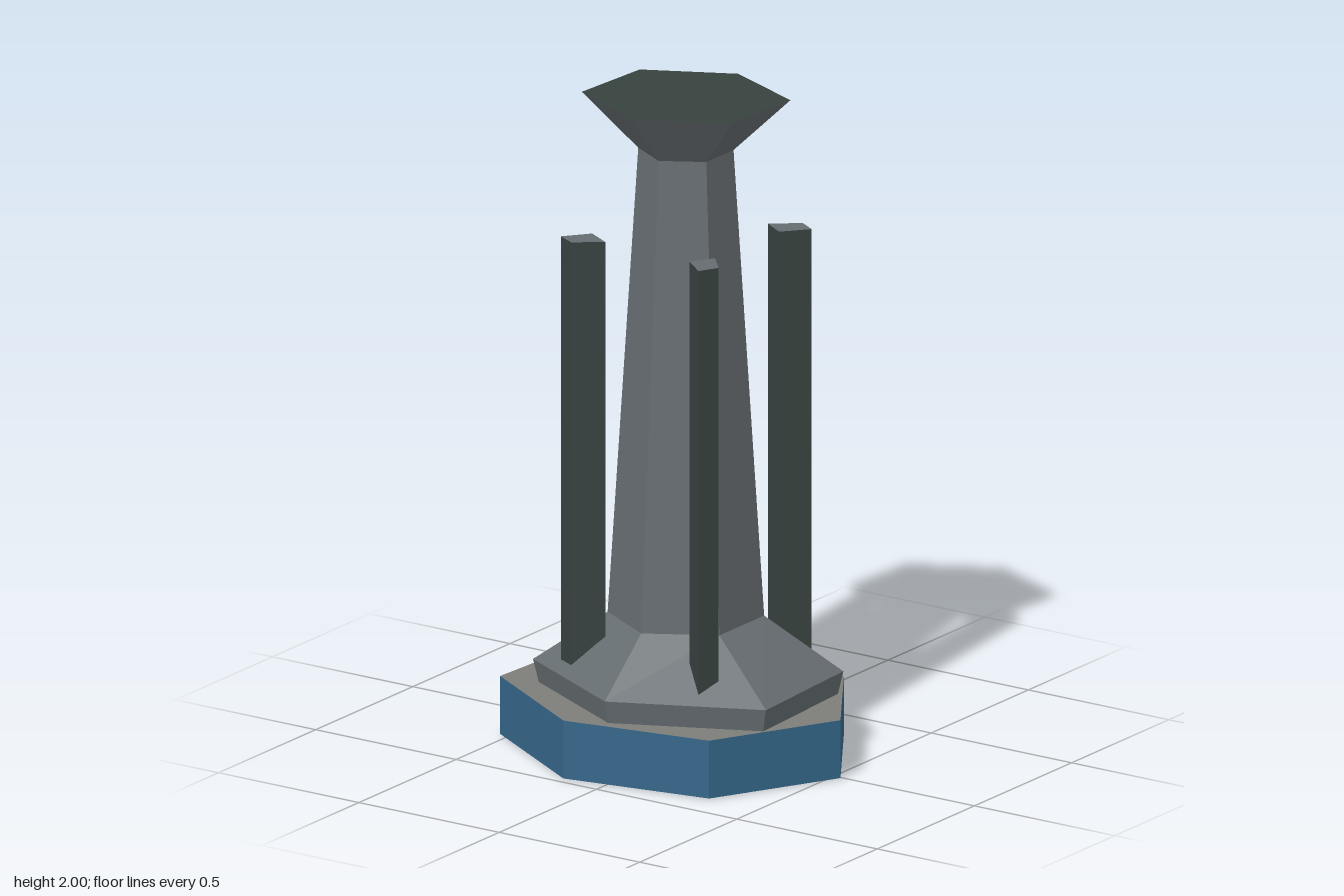
import * as THREE from 'three';

const mat = (name, color) => {
  const m = new THREE.MeshStandardMaterial({ color, flatShading: true });
  m.name = name;
  return m;
};

// Regular hexagon with a corner pointing to the back, as [x, z] pairs
const hexagon = (r, cx = -0.015, cz = 0.018) =>
  Array.from({ length: 6 }, (_, i) => {
    const t = (i * Math.PI) / 3;
    return [cx + r * Math.sin(t), cz - r * Math.cos(t)];
  });

// Joins rings of [x, z] corners (clockwise from above) at rising heights.
// Groups: 0 = sides, 1 = top, 2 = bottom.
function loft(levels) {
  const pos = [];
  const rings = levels.map(([y, pts]) => pts.map(([x, z]) => [x, y, z]));
  const n = rings[0].length;
  const tri = (...corners) => corners.forEach((c) => pos.push(...c));
  for (let k = 0; k + 1 < rings.length; k++) {
    const lo = rings[k], hi = rings[k + 1];
    for (let i = 0; i < n; i++) {
      const j = (i + 1) % n;
      tri(lo[j], lo[i], hi[i]);
      tri(lo[j], hi[i], hi[j]);
    }
  }
  const sides = pos.length / 3;
  const top = rings[rings.length - 1], bottom = rings[0];
  for (let i = 1; i + 1 < n; i++) tri(top[0], top[i + 1], top[i]);
  for (let i = 1; i + 1 < n; i++) tri(bottom[0], bottom[i], bottom[i + 1]);
  const cap = (n - 2) * 3;
  const geo = new THREE.BufferGeometry();
  geo.setAttribute('position', new THREE.Float32BufferAttribute(pos, 3));
  geo.addGroup(0, sides, 0);
  geo.addGroup(sides, cap, 1);
  geo.addGroup(sides + cap, cap, 2);
  geo.computeVertexNormals();
  return geo;
}

export function createModel() {
  const stone = mat('slate stone', 0x666d71);
  const dark = mat('dark green stone', 0x37423f);
  const blue = mat('blue paint', 0x35678a);
  const grey = mat('warm grey', 0x7d7d79);

  const model = new THREE.Group();
  model.name = 'pedestal';
  const add = (name, levels, materials) => {
    const mesh = new THREE.Mesh(loft(levels), materials);
    mesh.name = name;
    model.add(mesh);
  };

  // Uneven seven-sided base
  const baseRing = [
    [-0.14, -0.48], [0.3, -0.34], [0.53, 0.01], [0.325, 0.39],
    [-0.135, 0.475], [-0.53, 0.23], [-0.505, -0.195],
  ];
  add('base', [[0.002, baseRing], [0.18, baseRing]], [blue, grey, blue]);

  // Six-sided column: plinth, sloping skirt, tapering shaft and flared capital
  const plinthRing = [
    [-0.015, -0.435], [0.395, -0.2], [0.42, 0.235],
    [-0.015, 0.435], [-0.42, 0.22], [-0.445, -0.205],
  ];
  const capitalRing = [
    [-0.015, -0.25], [0.255, -0.13], [0.24, 0.145],
    [-0.015, 0.29], [-0.293, 0.152], [-0.275, -0.12],
  ];
  const footRing = plinthRing.map(([x, z]) => [x * 0.87, z * 0.87]);
  add('column', [
    [0, footRing],
    [0.25, plinthRing],
    [0.41, hexagon(0.23)],
    [1.84, hexagon(0.14)],
    [2, capitalRing],
  ], [stone, dark, dark]);

  // Four slim posts standing on the skirt
  const posts = {
    backRightPost: [[-0.255, -0.27], [-0.18, -0.215], [-0.225, -0.145], [-0.285, -0.215]],
    backLeftPost: [[0.21, -0.258], [0.265, -0.225], [0.2, -0.15], [0.13, -0.195]],
    frontLeftPost: [[0.19, 0.165], [0.252, 0.235], [0.22, 0.293], [0.148, 0.235]],
    frontRightPost: [[-0.24, 0.175], [-0.162, 0.22], [-0.242, 0.28], [-0.3, 0.25]],
  };
  for (const [name, ring] of Object.entries(posts)) {
    add(name, [[0.26, ring], [1.58, ring]], [dark, stone, dark]);
  }
  return model;
}
